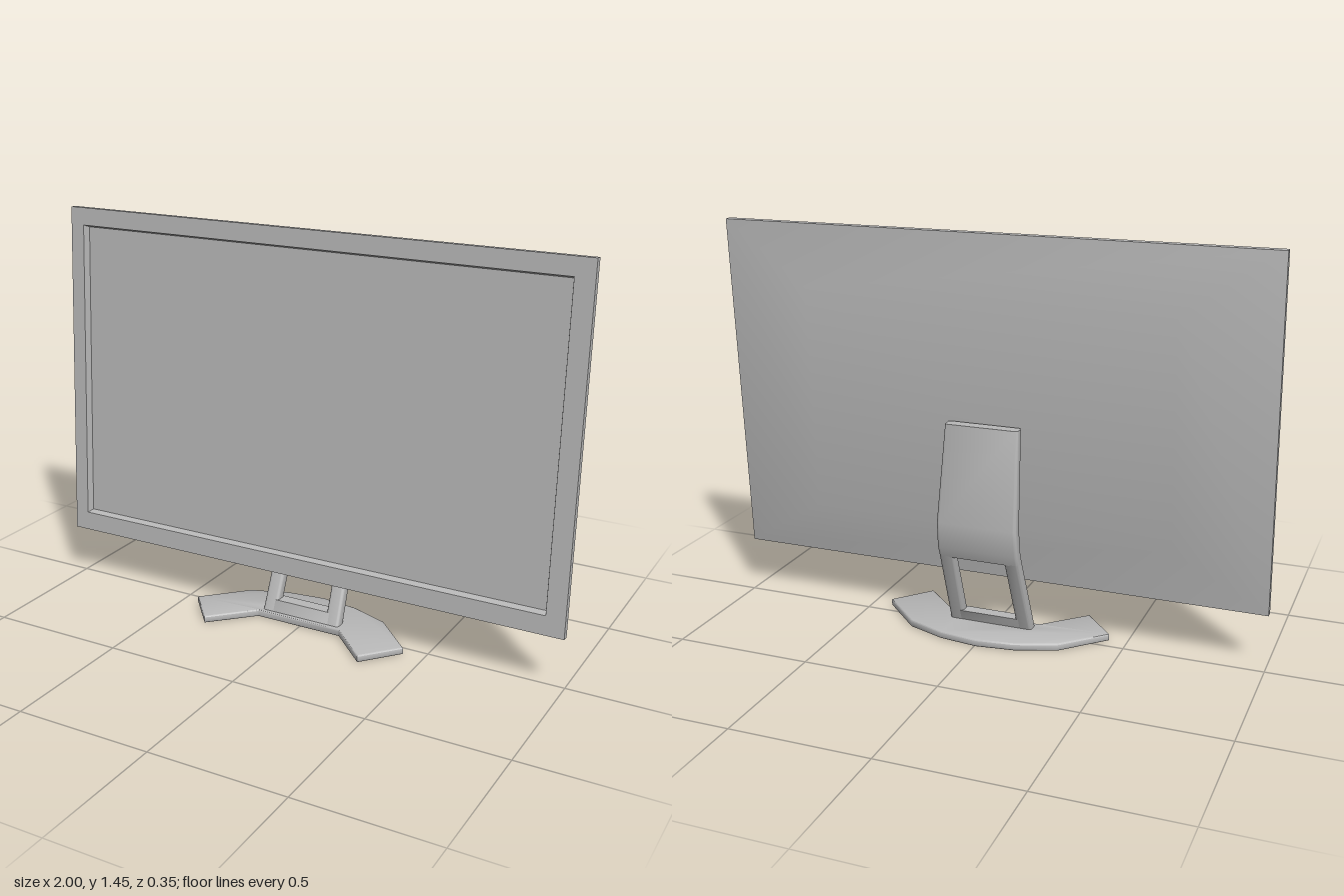
import * as THREE from 'three';
import { toCreasedNormals } from 'three/addons/utils/BufferGeometryUtils.js';

const grey = new THREE.MeshStandardMaterial({ color: 0xb8b8b8 });
grey.name = 'grey plastic';

// Skin a list of rings (each an array of [x, y, z]) and cap the ends
function loft(rings, capStart = true, capEnd = true) {
  const pos = [];
  const tri = (...pts) => pts.forEach((p) => pos.push(...p));
  const n = rings[0].length;
  for (let i = 0; i < rings.length - 1; i++) {
    for (let j = 0; j < n; j++) {
      const k = (j + 1) % n;
      const a = rings[i][j], b = rings[i][k], c = rings[i + 1][k], d = rings[i + 1][j];
      tri(a, b, c);
      tri(a, c, d);
    }
  }
  const first = rings[0], last = rings[rings.length - 1];
  for (let j = 1; j < n - 1; j++) {
    if (capStart) tri(first[0], first[j + 1], first[j]);
    if (capEnd) tri(last[0], last[j], last[j + 1]);
  }
  const geo = new THREE.BufferGeometry();
  geo.setAttribute('position', new THREE.Float32BufferAttribute(pos, 3));
  return toCreasedNormals(geo, 0.6);
}

function add(parent, name, geo) {
  const mesh = new THREE.Mesh(geo, grey);
  mesh.name = name;
  parent.add(mesh);
  return mesh;
}

// Upright rectangle ring facing +z
const rect = (x0, x1, y0, y1, z) => [[x0, y0, z], [x1, y0, z], [x1, y1, z], [x0, y1, z]];

// Horizontal rounded rectangle ring
function roundedRing(cx, y, cz, w, d, r = 0.012) {
  const ring = [];
  const corners = [[1, 1], [1, -1], [-1, -1], [-1, 1]];
  corners.forEach(([sx, sz], q) => {
    for (let s = 0; s <= 4; s++) {
      const a = (q + s / 4) * Math.PI / 2;
      ring.push([
        cx + sx * (w / 2 - r) + r * Math.sin(a),
        y,
        cz + sz * (d / 2 - r) + r * Math.cos(a),
      ]);
    }
  });
  return ring;
}

function createDisplay() {
  const display = new THREE.Group();
  display.name = 'display';
  // Shell: raised back, outer edge, bezel and sloped recess walls
  add(display, 'housing', loft([
    rect(-0.67, 0.67, -0.415, 0.41, -0.076),
    rect(-1, 1, -0.628, 0.628, -0.025),
    rect(-1, 1, -0.628, 0.628, 0),
    rect(-0.945, 0.931, -0.558, 0.564, 0),
    rect(-0.937, 0.923, -0.55, 0.556, -0.025),
  ], true, false));
  const screen = add(display, 'screen', new THREE.PlaneGeometry(1.86, 1.106));
  screen.position.set(-0.007, 0.003, -0.025);
  display.position.set(0, 0.8275, 0.0075);
  display.rotation.x = -0.0598;
  return display;
}

function createStand() {
  const stand = new THREE.Group();
  stand.name = 'stand';
  stand.position.x = -0.006;
  const depth = 0.046;
  // Centre line of the sloping lower part
  const slopeZ = (y) => THREE.MathUtils.mapLinear(y, 0.015, 0.355, 0.001, -0.138);
  const slab = (cx, w0, w1, y0, y1) => loft([
    roundedRing(cx, y0, slopeZ(y0), w0, depth),
    roundedRing(cx, y1, slopeZ(y1), w1, depth),
  ]);

  // Bent upper panel
  add(stand, 'neckPanel', loft([
    roundedRing(0, 0.315, slopeZ(0.315), 0.3, depth),
    roundedRing(0, 0.355, -0.138, 0.3, depth),
    roundedRing(0, 0.45, -0.149, 0.296, depth),
    roundedRing(0, 0.797, -0.098, 0.27, depth - 0.002),
  ]));

  // Two legs and the bar between them frame the cable opening
  for (const side of [-1, 1]) {
    const name = side > 0 ? 'leftLeg' : 'rightLeg';
    add(stand, name, loft([
      roundedRing(side * 0.13, 0.012, slopeZ(0.012), 0.056, depth),
      roundedRing(side * 0.123, 0.318, slopeZ(0.318), 0.054, depth),
    ]));
  }
  add(stand, 'lowerBar', slab(0, 0.25, 0.25, 0.012, 0.068));

  // Winged foot, with a slot underneath where the neck plugs in
  const half = [[0.17, 0.03], [0.315, 0.172], [0.424, 0.045], [0.28, -0.1], [0.14, -0.152]];
  const outline = [
    ...half,
    [0, -0.17],
    ...half.map(([x, z]) => [-x, z]).reverse(),
  ];
  const shape = new THREE.Shape(outline.map(([x, z]) => new THREE.Vector2(x, -z)));
  const slot = [[-0.13, -0.012], [0.13, -0.012], [0.13, 0.012], [-0.13, 0.012]];
  shape.holes.push(new THREE.Path(slot.map(([x, z]) => new THREE.Vector2(x, z))));
  const foot = new THREE.ExtrudeGeometry(shape, {
    depth: 0.017, bevelThickness: 0.005, bevelSize: 0.004, bevelSegments: 2,
  });
  foot.rotateX(-Math.PI / 2).translate(0, 0.005, 0);
  add(stand, 'foot', toCreasedNormals(foot, 0.8));
  return stand;
}

export function createModel() {
  const model = new THREE.Group();
  model.name = 'monitor';
  model.add(createDisplay(), createStand());
  return model;
}
